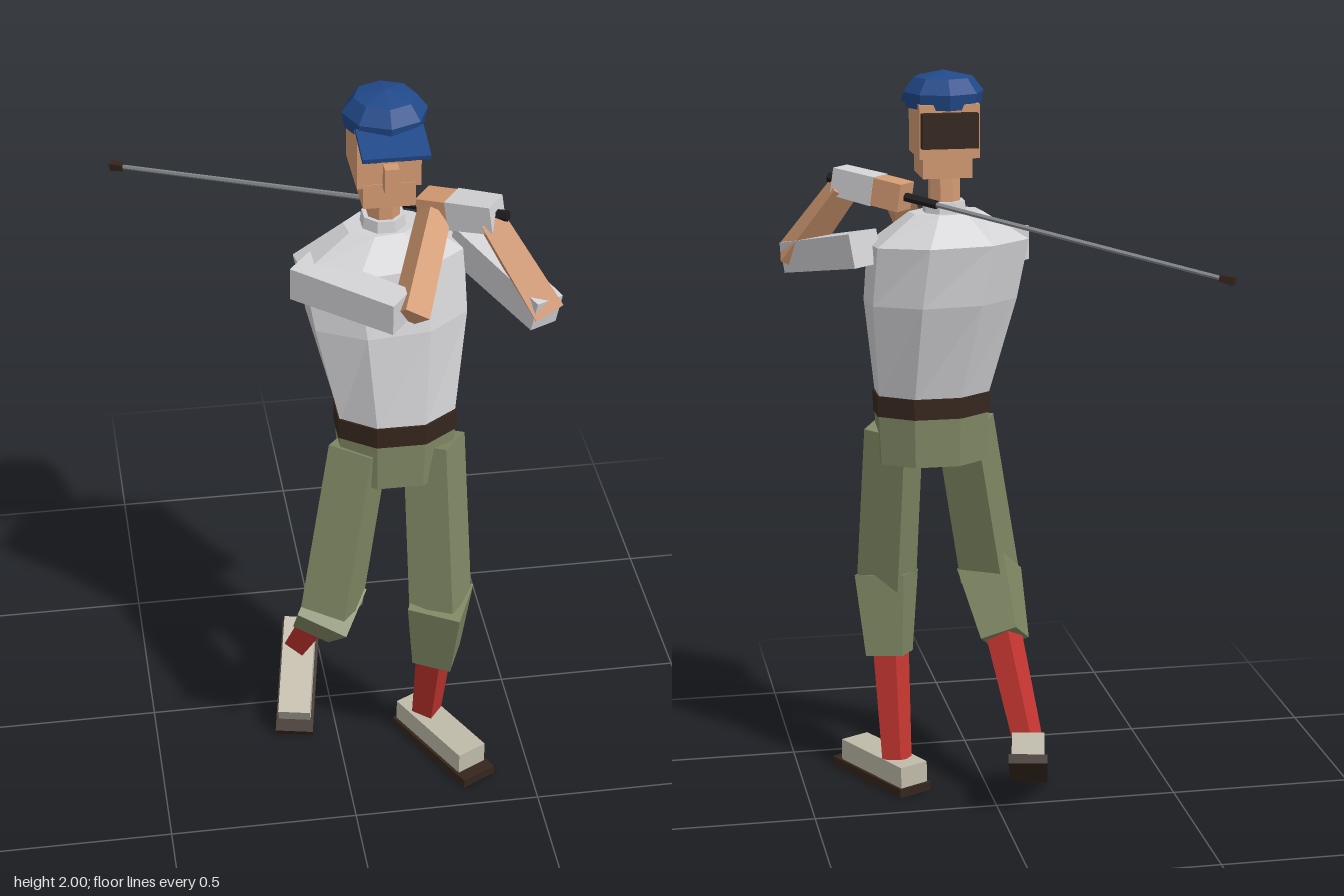
import * as THREE from 'three';

const colour = (name, hex) => {
  const m = new THREE.MeshStandardMaterial({ color: hex });
  m.name = name;
  return m;
};

export function createModel() {
  const root = new THREE.Group();
  root.name = 'golfer';
  const skin = colour('skin', 0xd39a72), shirt = colour('shirt', 0xd2d2d5);
  const green = colour('breeches', 0x7f8763), red = colour('socks', 0xc23530);
  const blue = colour('cap', 0x21498a), dark = colour('dark brown', 0x35261d);
  const cream = colour('shoe leather', 0xbfbaa9), steel = colour('steel', 0x85888d);
  const black = colour('grip', 0x1c1c1e);

  const V = (p) => new THREE.Vector3(...p);

  // Faceted mesh: every face gets its own normal
  const add = (name, geo, mat, parent = root) => {
    const g = geo.index ? geo.toNonIndexed() : geo;
    g.computeVertexNormals();
    const mesh = new THREE.Mesh(g, mat);
    mesh.name = name;
    parent.add(mesh);
    return mesh;
  };

  // Box given by its limits on each axis
  const box = (name, mat, [x0, x1], [y0, y1], [z0, z1], parent) => {
    const g = new THREE.BoxGeometry(x1 - x0, y1 - y0, z1 - z0);
    g.translate((x0 + x1) / 2, (y0 + y1) / 2, (z0 + z1) / 2);
    return add(name, g, mat, parent);
  };

  // Tapered prism from a to b; r0 and r1 reach the corners, twist turns it about its axis
  const limb = (name, mat, a, b, r0, r1, twist = 0, sides = 4) => {
    const A = V(a), B = V(b), y = A.clone().sub(B), len = y.length();
    y.normalize();
    const x = y.clone().cross(new THREE.Vector3(0, 0, 1)).normalize();
    const z = x.clone().cross(y);
    const g = new THREE.CylinderGeometry(r0, r1, len, sides);
    g.rotateY(twist);
    g.applyMatrix4(new THREE.Matrix4().makeBasis(x, y, z));
    const c = A.add(B).multiplyScalar(0.5);
    g.translate(c.x, c.y, c.z);
    return add(name, g, mat);
  };

  // Eight-sided body through rings [y, centreX, centreZ, radiusX, radiusZ, yaw], top to bottom
  const loft = (name, mat, rings) => {
    const n = rings.length - 1;
    const g = new THREE.CylinderGeometry(1, 1, 1, 8, n, false, Math.PI / 8);
    const p = g.attributes.position;
    for (let i = 0; i < p.count; i++) {
      const [y, cx, cz, a, b, yaw] = rings[Math.round((0.5 - p.getY(i)) * n)];
      const x = p.getX(i) * a, z = p.getZ(i) * b, c = Math.cos(yaw), s = Math.sin(yaw);
      p.setXYZ(i, cx + x * c + z * s, y, cz - x * s + z * c);
    }
    return add(name, g, mat);
  };

  // Torso, belt and hips
  loft('torso', shirt, [
    [1.63, 0.112, 0.13, 0.1, 0.07, 0.15],
    [1.55, 0.104, 0.136, 0.226, 0.125, 0.15],
    [1.39, 0.122, 0.16, 0.213, 0.135, 0.1],
    [1.12, 0.14, 0.205, 0.16, 0.11, 0]]);
  loft('belt', dark, [[1.13, 0.14, 0.206, 0.166, 0.114, 0], [1.073, 0.14, 0.206, 0.166, 0.114, 0]]);
  loft('hips', green, [[1.08, 0.14, 0.206, 0.162, 0.11, 0], [0.94, 0.14, 0.206, 0.155, 0.107, 0]]);

  // Neck and head
  limb('collar', shirt, [0.115, 1.66, 0.13], [0.115, 1.61, 0.13], 0.055, 0.062, Math.PI / 8, 8);
  limb('neck', skin, [0.115, 1.75, 0.135], [0.115, 1.63, 0.13], 0.043, 0.043, Math.PI / 8, 8);
  box('jaw', skin, [0.05, 0.18], [1.725, 1.79], [0.07, 0.222]);
  box('head', skin, [0.035, 0.193], [1.78, 1.92], [0.045, 0.22]);
  box('nose', skin, [0.098, 0.134], [1.78, 1.845], [0.215, 0.252]);
  box('hair', dark, [0.043, 0.19], [1.81, 1.9], [0.016, 0.048]);
  for (const x of [0.074, 0.156]) box('eye', dark, [x - 0.013, x + 0.013], [1.852, 1.877], [0.218, 0.226]);

  // Cap with its peak
  const cap = add('capCrown', new THREE.LatheGeometry([
    [0, 1.905], [0.099, 1.905], [0.106, 1.945], [0.077, 1.983], [0, 2]].map(
    ([r, y]) => new THREE.Vector2(r, y)), 8), blue);
  cap.position.set(0.116, 0, 0.13);
  const peak = box('capPeak', blue, [-0.083, 0.083], [-0.006, 0.006], [0, 0.115]);
  peak.position.set(0.117, 1.927, 0.195);
  peak.rotation.x = 0.2;

  // Legs: thigh, gathered cuff and sock, [top, knee, cuff end, sock start, ankle]
  const legs = {
    left: [[0.24, 1.03, 0.225], [0.25, 0.57, 0.32], [0.25, 0.36, 0.285], [0.246, 0.4, 0.29], [0.246, 0.08, 0.19]],
    right: [[0.045, 1.03, 0.225], [-0.037, 0.57, 0.3], [-0.055, 0.425, 0.165], [-0.05, 0.46, 0.19], [-0.083, 0.19, -0.02]],
  };
  for (const [side, [hip, knee, cuff, shin, ankle]] of Object.entries(legs)) {
    limb(side + 'Thigh', green, hip, knee, 0.085, 0.088, 0.2);
    const bulge = V(knee).add(new THREE.Vector3(0, 0.015, 0.005)).toArray();
    limb(side + 'Cuff', green, bulge, cuff, 0.1, 0.074, 0.35);
    limb(side + 'Sock', red, shin, ankle, 0.052, 0.042, 0.1);
  }

  // Shoes, measured back from the toe
  for (const [name, toe, yaw, pitch] of [
    ['leftShoe', [0.355, 0, 0.41], 0.48, 0], ['rightShoe', [-0.12, 0, 0.148], -0.21, 0.54]]) {
    const shoe = new THREE.Group();
    shoe.name = name;
    box('sole', dark, [-0.052, 0.052], [0, 0.025], [-0.325, 0], shoe);
    box('upper', cream, [-0.044, 0.044], [0.025, 0.085], [-0.318, -0.035], shoe);
    shoe.position.set(...toe);
    shoe.rotation.set(pitch, yaw, 0, 'YXZ');
    root.add(shoe);
  }

  // Arms folded towards the left shoulder
  limb('rightSleeve', shirt, [-0.1, 1.525, 0.18], [0.125, 1.515, 0.37], 0.064, 0.06, 0.7);
  limb('rightForearm', skin, [0.145, 1.5, 0.37], [0.235, 1.67, 0.175], 0.05, 0.045, 0.7);
  limb('leftSleeve', shirt, [0.33, 1.545, 0.09], [0.485, 1.48, 0.37], 0.064, 0.058, 0.5);
  limb('leftForearm', skin, [0.49, 1.475, 0.36], [0.365, 1.68, 0.24], 0.055, 0.045, 0.6);

  // Club running back over the shoulder; points are fractions from head to butt
  const tip = V([-0.515, 1.53, -0.43]), butt = V([0.4, 1.705, 0.272]);
  const at = (t) => tip.clone().lerp(butt, t).toArray();
  limb('clubShaft', steel, at(0.76), at(0), 0.007, 0.006, 0, 6);
  limb('clubGrip', black, at(1), at(0.72), 0.014, 0.012, 0, 6);
  limb('clubHead', dark, at(0.03), at(-0.003), 0.012, 0.015, 0.78);

  // Hands wrapped around the grip
  limb('rightHand', skin, at(0.885), at(0.8), 0.052, 0.052, 0.7);
  limb('leftGlove', shirt, at(0.975), at(0.87), 0.052, 0.055, 0.7);

  return root;
}
